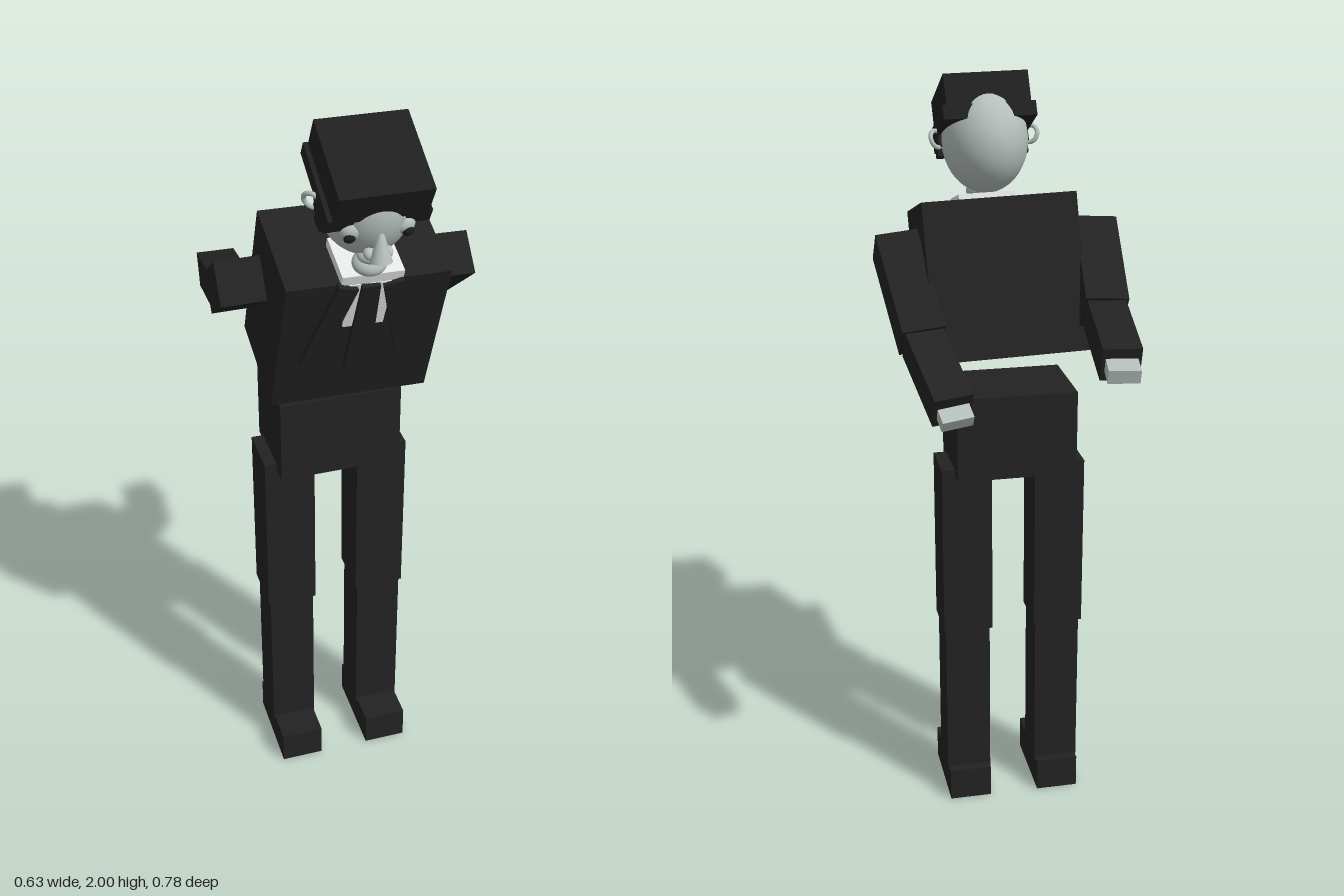
import * as THREE from 'three';

const material = (name, color) => {
  const m = new THREE.MeshStandardMaterial({ color });
  m.name = name;
  return m;
};

export function createModel() {
  const suit = material('suit black', 0x222222);
  const hatBlack = material('hat black', 0x1f1f1f);
  const skin = material('pale skin', 0xb4bebb);
  const white = material('shirt white', 0xe4e8e6);

  const model = new THREE.Group();
  model.name = 'figure';

  const add = (parent, name, geometry, mat, x, y, z) => {
    const mesh = new THREE.Mesh(geometry, mat);
    mesh.name = name;
    mesh.position.set(x, y, z);
    parent.add(mesh);
    return mesh;
  };
  const box = (parent, name, mat, size, pos) =>
    add(parent, name, new THREE.BoxGeometry(...size), mat, ...pos);
  const ball = (parent, name, mat, radii, pos, detail = 20) => {
    const g = new THREE.SphereGeometry(1, detail * 2, detail).scale(...radii);
    return add(parent, name, g, mat, ...pos);
  };

  // Box limb running from point a to point b
  const limb = (name, mat, a, b, width, thick) => {
    const from = new THREE.Vector3(...a), to = new THREE.Vector3(...b);
    const dir = to.clone().sub(from);
    const length = dir.length();
    dir.normalize();
    const side = new THREE.Vector3(1, 0, 0).addScaledVector(dir, -dir.x).normalize();
    const up = dir.clone().cross(side);
    const mid = from.add(to).multiplyScalar(0.5);
    const mesh = box(model, name, mat, [width, thick, length], mid.toArray());
    mesh.quaternion.setFromRotationMatrix(new THREE.Matrix4().makeBasis(side, up, dir));
  };

  // Pelvis, legs and feet
  box(model, 'pelvis', suit, [0.318, 0.227, 0.228], [-0.016, 1.104, 0.024]);
  for (const [side, x] of [['left', 0.111], ['right', -0.14]]) {
    box(model, side + 'Thigh', suit, [0.134, 0.477, 0.136], [x, 0.769, 0.021]);
    box(model, side + 'Shin', suit, [0.122, 0.46, 0.122], [x, 0.31, 0.024]);
    box(model, side + 'Foot', suit, [0.115, 0.092, 0.238], [x, 0.046, 0.056]);
  }

  // Arms swept backward
  const arms = {
    left: [[0.262, 1.577, 0.13], [0.228, 1.381, -0.085], [0.188, 1.267, -0.293], [0.181, 1.243, -0.326]],
    right: [[-0.262, 1.587, 0.13], [-0.236, 1.432, -0.105], [-0.218, 1.37, -0.335], [-0.212, 1.356, -0.388]],
  };
  for (const [side, [shoulder, elbow, wrist, tip]] of Object.entries(arms)) {
    limb(side + 'UpperArm', suit, shoulder, elbow, 0.11, 0.108);
    limb(side + 'Forearm', suit, elbow, wrist, 0.098, 0.09);
    limb(side + 'Hand', skin, wrist, tip, 0.08, 0.036);
  }

  // Torso leaning forward, with shirt, lapels and tie on its front
  const torso = new THREE.Group();
  torso.name = 'torso';
  torso.position.set(0, 1.476, 0.1);
  torso.rotation.set(0.306, 0, -0.03);
  model.add(torso);
  box(torso, 'jacket', suit, [0.4, 0.405, 0.265], [0, 0, 0]);
  const v = new THREE.Shape();
  v.moveTo(-0.055, 0.2);
  v.lineTo(-0.05, 0.06);
  v.lineTo(0.05, 0.06);
  v.lineTo(0.055, 0.2);
  add(torso, 'shirt', new THREE.ExtrudeGeometry(v, { depth: 0.006, bevelEnabled: false }), white, 0, 0, 0.131);
  for (const s of [-1, 1]) {
    const lapel = box(torso, s > 0 ? 'leftLapel' : 'rightLapel', suit, [0.05, 0.26, 0.02], [s * 0.088, 0.075, 0.138]);
    lapel.rotation.z = s * 0.26;
  }
  const tie = new THREE.Shape();
  tie.moveTo(-0.022, 0.2);
  tie.lineTo(-0.032, -0.085);
  tie.lineTo(0.032, -0.085);
  tie.lineTo(0.022, 0.2);
  add(torso, 'tie', new THREE.ExtrudeGeometry(tie, { depth: 0.016, bevelEnabled: false }), suit, 0, 0, 0.132);
  box(torso, 'collar', white, [0.15, 0.03, 0.13], [0.005, 0.212, 0.07]);

  // Bowed head
  const head = new THREE.Group();
  head.name = 'head';
  head.position.set(0.008, 1.82, 0.222);
  head.rotation.set(0.48, 0, -0.02);
  model.add(head);
  ball(head, 'skull', skin, [0.112, 0.138, 0.138], [0, 0, 0], 24);
  ball(head, 'chin', skin, [0.042, 0.026, 0.036], [0, -0.102, 0.118]);
  ball(head, 'upperLip', skin, [0.036, 0.02, 0.025], [0, -0.07, 0.118]);

  // Nose
  const nose = add(head, 'noseBridge', new THREE.ConeGeometry(0.026, 0.09, 20), skin, 0, 0.008, 0.142);
  nose.rotation.x = -0.6;
  ball(head, 'noseTip', skin, [0.02, 0.02, 0.022], [0, -0.026, 0.154]);

  for (const s of [-1, 1]) {
    const side = s > 0 ? 'left' : 'right';
    ball(head, side + 'Nostril', skin, [0.014, 0.013, 0.016], [s * 0.021, -0.03, 0.142], 12);
    // Eyes
    ball(head, side + 'EyeSocket', skin, [0.028, 0.026, 0.026], [s * 0.062, 0.014, 0.1], 14);
    ball(head, side + 'Pupil', hatBlack, [0.014, 0.014, 0.01], [s * 0.068, 0.01, 0.122], 12);
    // Ears
    const ear = add(head, side + 'Ear', new THREE.TorusGeometry(0.022, 0.006, 10, 24), skin, s * 0.124, 0.01, 0.01);
    ear.rotation.y = s * 0.7;
    // Sideburn tufts with a stepped lower edge
    [0.035, 0.055, 0.05, 0.03].forEach((drop, i) =>
      box(head, side + 'Sideburn', hatBlack, [0.018, drop, 0.02], [s * 0.111, 0.024 - drop / 2, 0.02 + i * 0.02]));
  }

  // Hat crown and wider band
  box(head, 'hatCrown', hatBlack, [0.22, 0.088, 0.221], [0, 0.097, 0.001]);
  box(head, 'hatBand', hatBlack, [0.242, 0.038, 0.221], [0, 0.04, -0.003]);

  return model;
}
